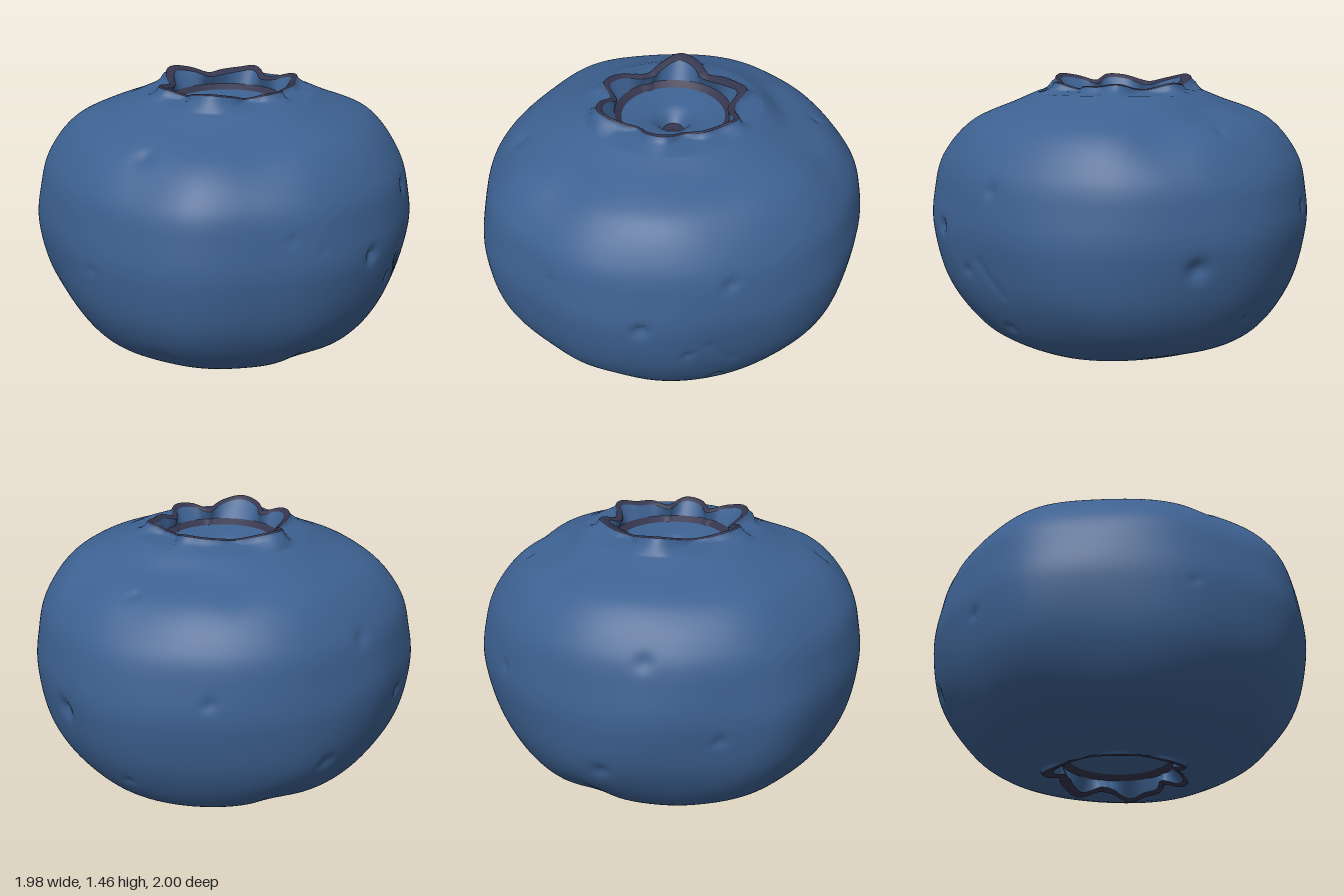
import * as THREE from 'three';

const SEG = 256, MID = 0.73;
const { smoothstep, clamp } = THREE.MathUtils;

// Catmull-Rom through values evenly spaced around the circle
function cyclic(values, angle) {
  const n = values.length;
  const u = ((angle / (Math.PI * 2)) % 1) * n;
  const i = Math.floor(u), t = u - i;
  const [a, b, c, d] = [-1, 0, 1, 2].map(k => values[(i + k + n) % n]);
  return b + 0.5 * t * (c - a + t * (2 * a - 5 * b + 4 * c - d + t * (3 * (b - c) + d - a)));
}

// Berry outline every 20 degrees, calyx lobe radius every 15 degrees (from +x towards +z)
const OUTLINE = [1, 0.99, 0.975, 0.995, 1.015, 1.01, 1.055, 1.02, 1.0,
  0.995, 1.02, 0.99, 0.99, 1.005, 1.005, 1.005, 1.02, 1.005];
const LOBES = [0.39, 0.36, 0.35, 0.31, 0.37, 0.36, 0.31, 0.37, 0.41, 0.38, 0.32, 0.38,
  0.37, 0.33, 0.31, 0.36, 0.41, 0.38, 0.32, 0.34, 0.36, 0.38, 0.32, 0.33];

const lobeR = a => cyclic(LOBES, a);
const lobeH = a => 1.412 + clamp((lobeR(a) - 0.31) / 0.1, 0, 1) * 0.046;

// Dents: direction from the centre, angular radius, depth (negative bulges out)
const DENTS = [
  [0.44, 0, 0.9, 0.035, 0.025], [0.76, 0.24, 0.6, 0.035, 0.02], [-0.02, 0.17, 0.98, 0.025, 0.008],
  [0.62, -0.19, 0.75, 0.025, 0.015], [0.13, 0.1, 0.98, 0.015, 0.008], [-0.86, -0.05, 0.5, 0.02, 0.01],
  [-0.55, -0.53, 0.65, 0.06, 0.015], [0.44, 0.02, 0.9, 0.02, 0.008], [0.9, -0.1, -0.4, 0.05, 0.03],
  [0.7, -0.52, 0.57, 0.03, 0.015], [0.69, -0.45, -0.7, 0.025, 0.012], [-0.55, 0.46, 0.48, 0.05, 0.02],
  [0.65, 0.46, -0.2, 0.17, 0.025], [0.55, 0.5, -0.5, 0.03, 0.015], [-0.5, 0.3, -0.8, 0.04, 0.015],
  [-0.3, -0.3, -0.9, 0.04, 0.018], [-0.8, -0.1, -0.6, 0.03, 0.015], [0.3, 0.1, -0.95, 0.03, 0.015],
  [-0.1, 0.55, 0.8, 0.15, 0.012], [0.1, 0.5, -0.6, 0.12, 0.015],
  [0.2, -0.7, 0.92, 0.13, 0.025], [-0.14, -0.7, -0.99, 0.13, 0.025],
  [0.4, 0.58, -0.4, 0.25, 0.045], [0.6, 0.38, -0.6, 0.2, 0.015],
  [-0.62, 0.45, 0.62, 0.22, 0.022], [0.7, 0.18, 0.7, 0.28, -0.018],
];
// Scratch on the left side
for (let i = 0; i <= 8; i++) DENTS.push([0.75, -0.13 - i * 0.02, 0.74 - i * 0.025, 0.018, 0.008]);
const dents = DENTS.map(([x, y, z, size, depth]) => ({ dir: new THREE.Vector3(x, y, z).normalize(), size, depth }));

// Wavy skin with the dents pressed in
function skin(p) {
  const d = p.clone();
  d.y -= MID;
  const fade = smoothstep(Math.hypot(p.x, p.z), 0.42, 0.62);
  const dir = d.clone().normalize();
  let push = 0.008 * Math.sin(5 * dir.x + 3 * dir.y + 1) * Math.sin(6 * dir.z - 4 * dir.y);
  for (const t of dents) {
    const q = dir.distanceToSquared(t.dir) / (t.size * t.size);
    if (q < 8) push += t.depth * Math.exp(-q);
  }
  d.multiplyScalar(1 - push * fade);
  d.y += MID;
  return d;
}

// Surface through rings; each ring is a function of angle giving [radius, height]
function ringSurface(name, rings, material, { flip = false, warp = null } = {}) {
  const pos = [], index = [];
  rings.forEach((ring, i) => {
    for (let j = 0; j < SEG; j++) {
      const a = j / SEG * Math.PI * 2;
      const [r, y] = ring(a);
      let p = new THREE.Vector3(r * Math.cos(a), flip ? 2 * MID - y : y, r * Math.sin(a));
      if (warp) p = warp(p);
      pos.push(p.x, p.y, p.z);
      if (i === rings.length - 1) continue;
      const k = (j + 1) % SEG;
      const A = i * SEG + j, B = A + SEG, C = (i + 1) * SEG + k, D = i * SEG + k;
      if (flip) index.push(A, D, B, B, D, C);
      else index.push(A, B, D, B, C, D);
    }
  });
  const geo = new THREE.BufferGeometry();
  geo.setAttribute('position', new THREE.Float32BufferAttribute(pos, 3));
  geo.setIndex(index);
  geo.computeVertexNormals();
  const mesh = new THREE.Mesh(geo, material);
  mesh.name = name;
  return mesh;
}

export function createModel() {
  const blue = new THREE.MeshStandardMaterial({ color: 0x3d6191, side: THREE.DoubleSide });
  blue.name = 'berry blue';
  const dark = new THREE.MeshStandardMaterial({ color: 0x35354e, side: THREE.DoubleSide });
  dark.name = 'dark plum';

  const berry = new THREE.Group();
  berry.name = 'berry';

  const fixed = (r, y) => () => [r, y];
  const rim = (dr, dh, floor = 0) => a => [lobeR(a) + dr, Math.max(lobeH(a) + dh, floor)];

  // Round body, running smoothly into the outer walls of both crowns
  const profile = new THREE.SplineCurve([
    [0.45, 0.037], [0.58, 0.073], [0.78, 0.185], [0.93, 0.41], [0.99, 0.68],
    [0.975, 0.88], [0.925, 1.06], [0.78, 1.235], [0.55, 1.335], [0.45, 1.378],
  ].map(p => new THREE.Vector2(...p)));
  const bodyRings = profile.getSpacedPoints(100).map(p => a => {
    const w = smoothstep(p.x, 0.42, 0.95);
    const lift = 0.015 * Math.max(Math.cos(a), 0) ** 2 * smoothstep(p.y, 1, 1.3);
    return [p.x * (1 + (cyclic(OUTLINE, a) - 1) * w), p.y + lift];
  });
  const wall = foot => [rim(0.03, -0.04, foot), rim(0.01, -0.025, foot), rim(0, -0.006)];
  const mirrored = wall(1.42).map(ring => a => {
    const [r, y] = ring(a);
    return [r, 2 * MID - y];
  }).reverse();
  berry.add(ringSurface('body', [...mirrored, ...bodyRings, ...wall(1.395)], blue, { warp: skin }));

  // Calyx crowns, one on top and its mirror underneath; the rim is thicker at the back
  const lip = a => [
    Math.max(lobeR(a) - 0.033 - 0.03 * Math.max(-Math.sin(a), 0) ** 2, 0.28), lobeH(a) - 0.02];
  const seat = a => [Math.min(0.3, lobeR(a) - 0.02), 1.35];
  for (const flip of [false, true]) {
    const crown = new THREE.Group();
    crown.name = flip ? 'bottomCalyx' : 'topCalyx';
    crown.add(
      ringSurface('calyxRim', [rim(0, -0.006), rim(-0.012, 0), lip], dark, { flip }),
      ringSurface('calyxInnerWall', [lip, seat], blue, { flip }),
      ringSurface('innerRing', [seat, fixed(0.265, 1.325)], dark, { flip }),
      ringSurface('craterFloor', [fixed(0.265, 1.325), fixed(0.2, 1.315), fixed(0.13, 1.305),
        fixed(0.09, 1.285), fixed(0.05, 1.24)], blue, { flip }),
      ringSurface('centreScar', [fixed(0.05, 1.24), fixed(0.025, 1.235), fixed(0.001, 1.235)], dark, { flip }),
    );
    berry.add(crown);
  }
  return berry;
}
